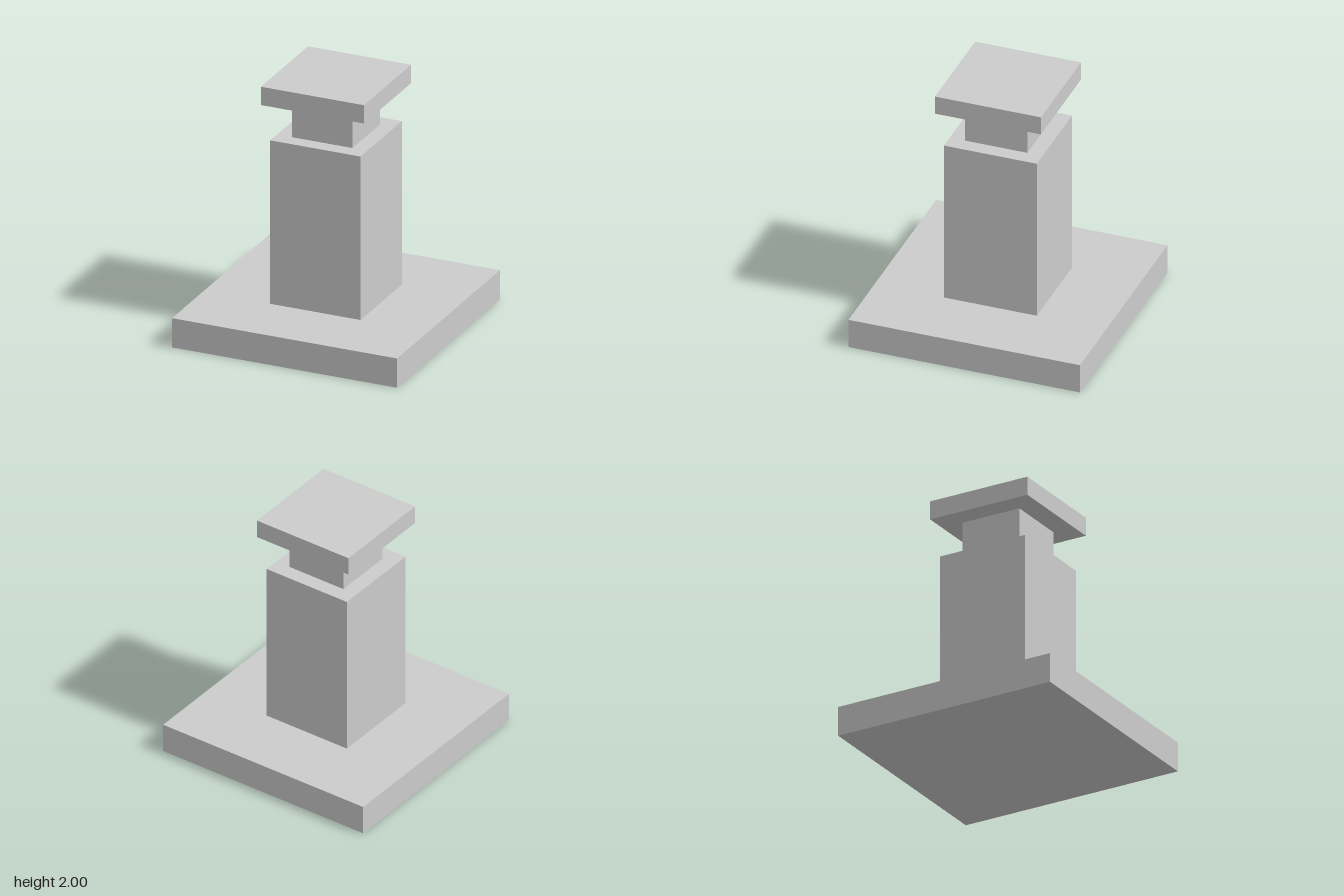
import * as THREE from 'three';

export function createModel() {
  const model = new THREE.Group();
  model.name = 'pedestal';
  const stone = new THREE.MeshStandardMaterial({ color: 0xcccccc });
  stone.name = 'light grey';

  // Square blocks stacked from the ground up: name, width, bottom, top
  const blocks = [
    ['base', 1.838, 0, 0.236],
    ['shaft', 0.738, 0.236, 1.556],
    ['neck', 0.494, 1.556, 1.852],
    ['cap', 0.842, 1.852, 2],
  ];
  for (const [name, width, bottom, top] of blocks) {
    const block = new THREE.Mesh(new THREE.BoxGeometry(width, top - bottom, width), stone);
    block.name = name;
    block.position.y = (bottom + top) / 2;
    model.add(block);
  }
  return model;
}
